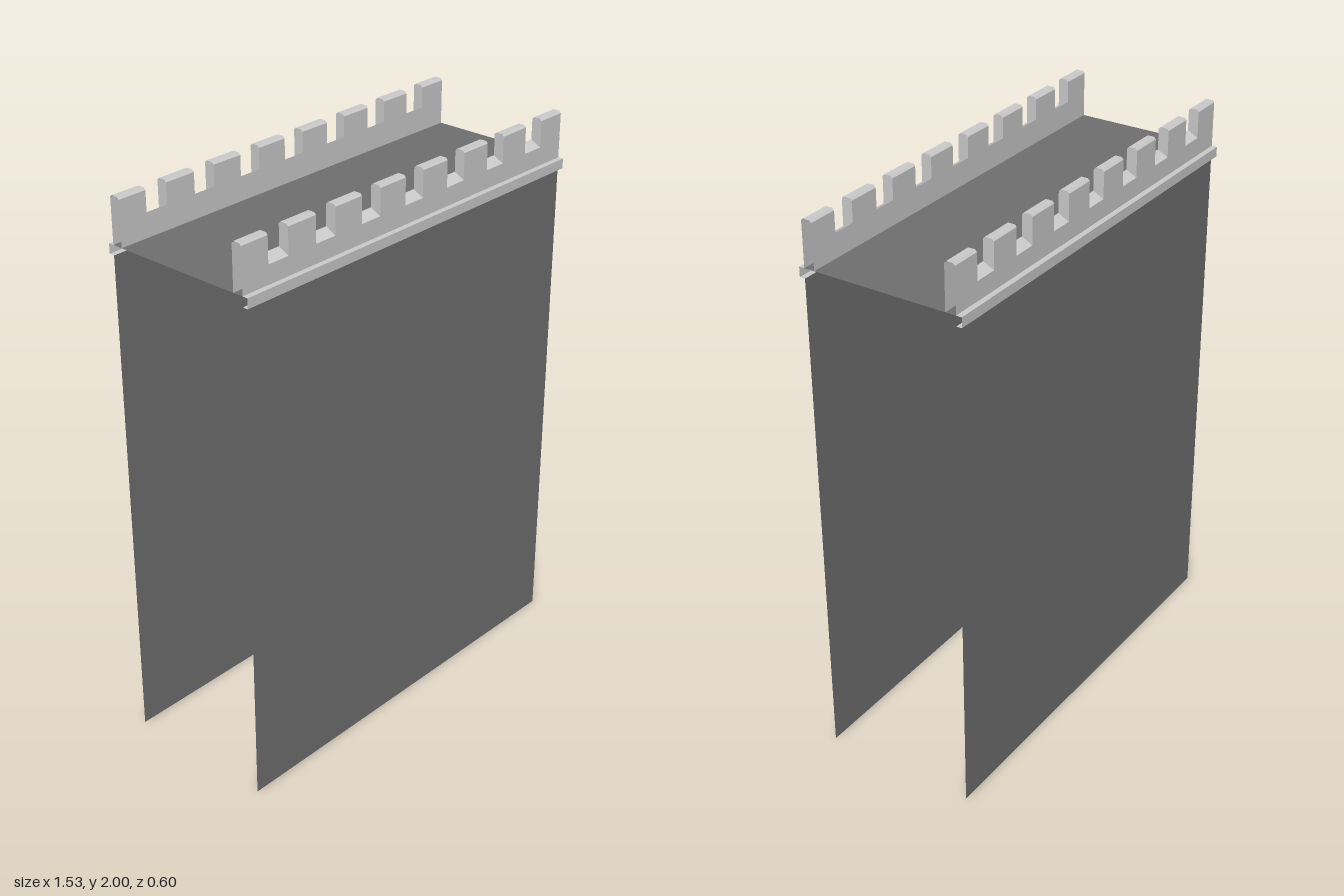
import * as THREE from 'three';

const HALF = 0.765, PITCH = 0.2045, GAP = 0.0425;   // half length, crenel spacing, half crenel width
const OUT = 0.28, IN = 0.242, FLOOR = 1.835, TOP = 2, BEVEL = 0.007;

const stone = new THREE.MeshStandardMaterial({ color: 0xcccccc, flatShading: true, side: THREE.DoubleSide });
const dark = new THREE.MeshStandardMaterial({ color: 0x707070, flatShading: true, side: THREE.DoubleSide });

// Sweeps an open [z, y] profile along x; side = 1 for front, -1 for back
function sweep(profile, x0, x1, side) {
  const [a, b] = side > 0 ? [x0, x1] : [x1, x0];
  const pos = [];
  for (let i = 0; i < profile.length - 1; i++) {
    const [z0, y0] = profile[i], [z1, y1] = profile[i + 1];
    pos.push(a, y0, z0 * side, b, y0, z0 * side, b, y1, z1 * side);
    pos.push(a, y0, z0 * side, b, y1, z1 * side, a, y1, z1 * side);
  }
  const g = new THREE.BufferGeometry();
  g.setAttribute('position', new THREE.Float32BufferAttribute(pos, 3));
  g.computeVertexNormals();
  return g;
}

// Flat merlon cheek at x, facing dir along x
function cheek(profile, x, dir, side) {
  const shape = new THREE.Shape(profile.map(([z, y]) => new THREE.Vector2(-dir * side * z, y)));
  return new THREE.ShapeGeometry(shape).rotateY(dir * Math.PI / 2).translate(x, 0, 0);
}

const ledgeProfile = [[OUT, 1.8], [0.3, 1.8], [0.3, FLOOR], [OUT, FLOOR]];
const crenelProfile = [[OUT, FLOOR], [OUT, 1.9], [IN, 1.92], [IN, FLOOR]];
const merlonTop = [[OUT, TOP - BEVEL], [OUT - BEVEL, TOP], [IN + BEVEL, TOP], [IN, TOP - BEVEL]];
const merlonProfile = [[OUT, FLOOR], ...merlonTop, [IN, FLOOR]];
const cheekProfile = [[OUT, 1.9], ...merlonTop, [IN, 1.92]];

export function createModel() {
  const model = new THREE.Group();
  model.name = 'castleWallSection';
  const add = (parent, name, geometry, material) => {
    const mesh = new THREE.Mesh(geometry, material);
    mesh.name = name;
    parent.add(mesh);
  };

  // Walkway between the parapets
  add(model, 'walkway', new THREE.PlaneGeometry(2 * HALF, 2 * OUT).rotateX(-Math.PI / 2).translate(0, FLOOR, 0), dark);

  for (const side of [1, -1]) {
    const label = side > 0 ? 'front' : 'back';

    // Wall sheet, open at the ends
    add(model, label + 'Wall', sweep([[OUT, 0], [OUT, 1.8]], -HALF, HALF, side), dark);

    // Parapet with string course, merlons and sloping crenels
    const parapet = new THREE.Group();
    parapet.name = label + 'Parapet';
    model.add(parapet);
    add(parapet, 'ledge', sweep(ledgeProfile, -HALF, HALF, side), stone);
    let start = -HALF;
    for (let i = -3; i <= 3; i++) {
      const x0 = i * PITCH - GAP, x1 = i * PITCH + GAP;
      add(parapet, 'merlon', sweep(merlonProfile, start, x0, side), stone);
      add(parapet, 'crenel', sweep(crenelProfile, x0, x1, side), stone);
      add(parapet, 'merlonCheek', cheek(cheekProfile, x0, 1, side), stone);
      add(parapet, 'merlonCheek', cheek(cheekProfile, x1, -1, side), stone);
      start = x1;
    }
    add(parapet, 'merlon', sweep(merlonProfile, start, HALF, side), stone);
  }
  return model;
}
